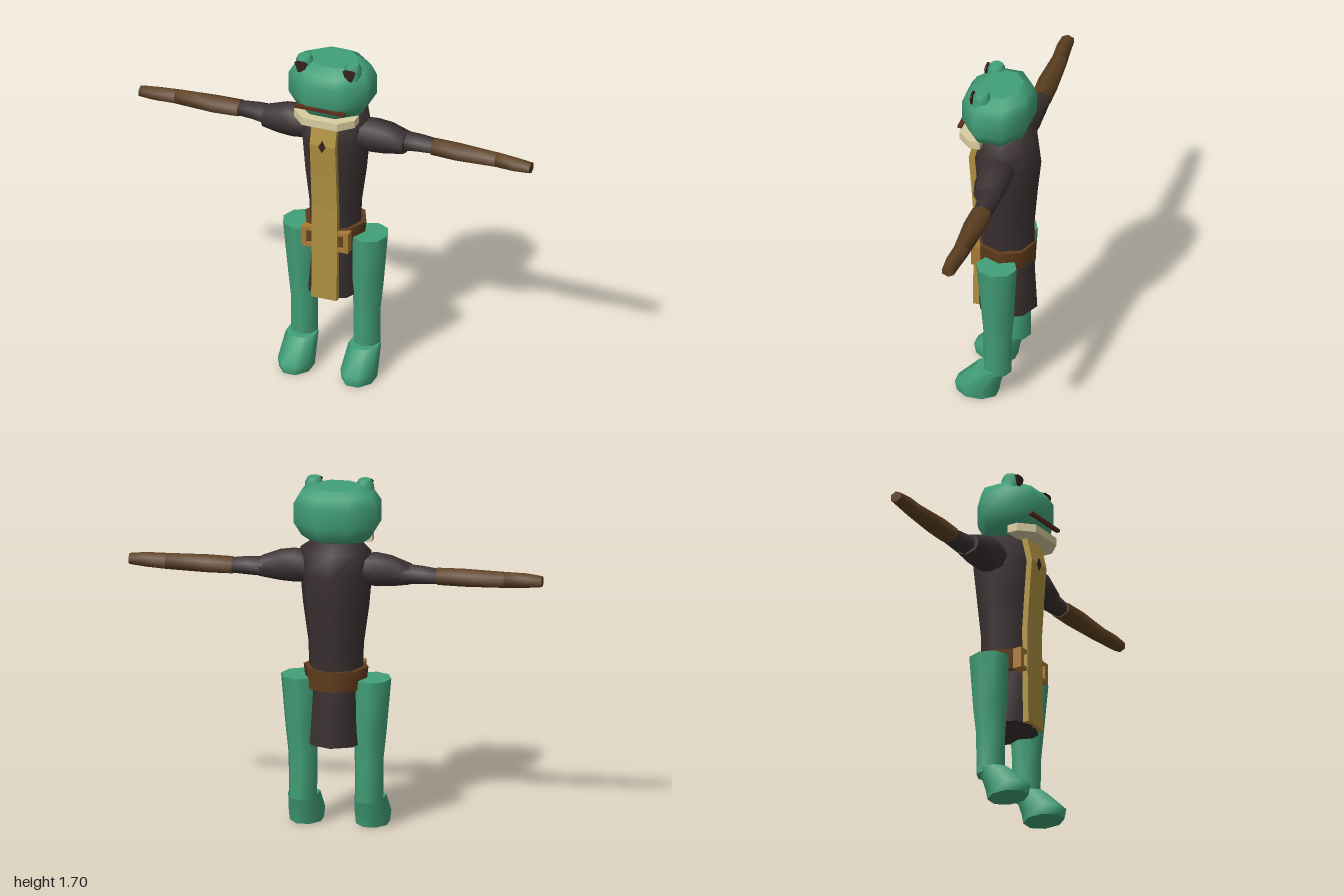
import * as THREE from 'three';

const mat = (name, color, side = THREE.FrontSide) => {
  const m = new THREE.MeshStandardMaterial({ color, side });
  m.name = name;
  return m;
};

// Closed tube of elliptical rings [station, a0, a1, b0, b1].
// Along y: a = x and b = z. Along x: a = z and b = y.
function loft(rings, { sides = 8, axis = 'y', phase = 0 } = {}) {
  const pos = [], idx = [], fit = phase ? 1 / Math.cos(Math.PI / sides) : 1;
  const addRing = ([s, a0, a1, b0, b1]) => {
    for (let j = 0; j < sides; j++) {
      const t = ((j + phase) / sides) * Math.PI * 2;
      const a = (a0 + a1) / 2 + ((a1 - a0) / 2) * fit * Math.sin(t);
      const b = (b0 + b1) / 2 + ((b1 - b0) / 2) * fit * Math.cos(t);
      if (axis === 'y') pos.push(a, s, b);
      else pos.push(s, b, a);
    }
  };
  rings.forEach(addRing);
  for (let i = 0; i < rings.length - 1; i++) {
    for (let j = 0; j < sides; j++) {
      const k = (j + 1) % sides, p = i * sides, q = p + sides;
      idx.push(p + j, p + k, q + k, p + j, q + k, q + j);
    }
  }
  // end caps on their own vertices so the rims stay sharp
  const low = rings.length * sides, high = low + sides;
  addRing(rings[0]);
  addRing(rings[rings.length - 1]);
  for (let j = 1; j < sides - 1; j++) {
    idx.push(low, low + j + 1, low + j, high, high + j, high + j + 1);
  }
  const g = new THREE.BufferGeometry();
  g.setAttribute('position', new THREE.Float32BufferAttribute(pos, 3));
  g.setIndex(idx);
  g.computeVertexNormals();
  return g;
}

const polygon = (pts) => new THREE.Shape(pts.map(([x, y]) => new THREE.Vector2(x, y)));
const extrude = (shape, depth) => new THREE.ExtrudeGeometry(shape, { depth, bevelEnabled: false });
const rectPts = (w, h) => [[-w, -h], [w, -h], [w, h], [-w, h]];

export function createModel() {
  const green = mat('green skin', 0x429f78);
  const cloth = mat('dark cloth', 0x3a3031);
  const gold = mat('gold cloth', 0xaf9040);
  const brass = mat('brass', 0xa87a34);
  const leather = mat('brown leather', 0x5c3f20);
  const belt = mat('belt leather', 0x603c1c);
  const cream = mat('cream', 0xd8cda0);
  const mouth = mat('mouth brown', 0x5a2e1c);
  const dark = mat('eye dark', 0x35211f);

  const model = new THREE.Group();
  const add = (name, geometry, material, parent = model) => {
    const m = new THREE.Mesh(geometry, material);
    m.name = name;
    parent.add(m);
    return m;
  };

  // Tunic, from hem to shoulders
  add('tunic', loft([
    [0.425, -0.14, 0.14, -0.17, 0.126],
    [0.70, -0.115, 0.115, -0.155, 0.105],
    [0.80, -0.13, 0.13, -0.155, 0.112],
    [0.92, -0.135, 0.135, -0.157, 0.117],
    [1.10, -0.16, 0.16, -0.172, 0.131],
    [1.27, -0.175, 0.175, -0.19, 0.145],
    [1.38, -0.172, 0.172, -0.172, 0.115],
    [1.425, -0.11, 0.11, -0.115, 0.05],
  ]), cloth);

  // Belt and buckle
  add('belt', loft([
    [0.70, -0.145, 0.145, -0.163, 0.115],
    [0.80, -0.157, 0.157, -0.166, 0.122],
  ]), belt);
  const frame = polygon(rectPts(0.12, 0.052));
  frame.holes.push(polygon(rectPts(0.095, 0.035)));
  add('buckleFrame', extrude(frame, 0.045).translate(0, 0.743, 0.079), brass);
  add('bucklePlate', new THREE.BoxGeometry(0.2, 0.08, 0.02).translate(0, 0.743, 0.095), belt);

  // Long front panel following the chest, with a diamond on it
  const front = [[0.425, 0.131], [0.69, 0.127], [0.80, 0.127], [0.92, 0.126], [1.10, 0.138], [1.27, 0.151], [1.385, 0.124]];
  const profile = [
    ...front.map(([y, z]) => [z, y]),
    ...front.map(([y, z]) => [z - 0.03, y]).reverse(),
  ];
  add('frontPanel', extrude(polygon(profile), 0.13).rotateY(-Math.PI / 2).translate(0.065, 0, 0), gold);
  add('diamond', extrude(polygon([[0, -0.032], [0.018, 0], [0, 0.032], [-0.018, 0]]), 0.007)
    .translate(-0.002, 1.265, 0.147), dark);

  // Head
  add('head', loft([
    [1.405, -0.12, 0.12, -0.08, 0.12],
    [1.44, -0.165, 0.165, -0.115, 0.155],
    [1.50, -0.2, 0.2, -0.142, 0.178],
    [1.60, -0.2, 0.2, -0.145, 0.18],
    [1.65, -0.172, 0.172, -0.13, 0.15],
    [1.68, -0.115, 0.115, -0.09, 0.1],
  ], { phase: 0.5 }), green);
  add('mouth', new THREE.BoxGeometry(0.25, 0.014, 0.02).translate(0, 1.482, 0.178), mouth);
  const jaw = [[-0.155, -0.07], [-0.155, -0.125], [-0.09, -0.19], [0.09, -0.19], [0.155, -0.125], [0.155, -0.07]];
  add('lowerLip', extrude(polygon(jaw.reverse()), 0.04).rotateX(-Math.PI / 2).translate(0, 1.39, 0), cream);

  for (const s of [1, -1]) {
    const label = s > 0 ? 'left' : 'right';
    const centred = (x, rows) => rows.map(([y, r, z0, z1, dx = 0]) => [y, s * (x + dx) - r, s * (x + dx) + r, z0, z1]);
    const along = (rows) => (s > 0 ? rows : rows.map(([x, ...r]) => [-x, ...r]).reverse());

    // Eye
    add(label + 'Eye', loft(centred(0.123, [
      [1.62, 0.045, 0.02, 0.115], [1.675, 0.044, 0.024, 0.113], [1.702, 0.03, 0.036, 0.1],
    ])), green);
    add(label + 'Pupil', extrude(polygon([[-0.015, -0.028], [0.015, -0.028], [0.032, 0.02], [0.02, 0.028], [-0.02, 0.028], [-0.032, 0.02]]), 0.009)
      .translate(s * 0.123, 1.662, 0.112), dark);

    // Arm: shoulder, sleeve, glove, hand
    const arm = new THREE.Group();
    arm.name = label + 'Arm';
    model.add(arm);
    const limb = (name, rows, material, sides = 8) =>
      add(name, loft(along(rows), { axis: 'x', sides }), material, arm);
    limb('shoulder', [
      [0.10, -0.10, 0.055, 1.21, 1.36], [0.20, -0.105, 0.065, 1.2, 1.37],
      [0.27, -0.105, 0.06, 1.205, 1.36], [0.36, -0.095, 0.04, 1.22, 1.325],
    ], cloth);
    limb('sleeve', [
      [0.34, -0.098, 0.025, 1.225, 1.325], [0.42, -0.095, 0.01, 1.23, 1.322], [0.5, -0.09, 0.002, 1.235, 1.312],
    ], cloth, 6);
    limb('glove', [
      [0.495, -0.093, 0.01, 1.23, 1.316], [0.62, -0.09, 0.016, 1.227, 1.317], [0.82, -0.075, 0.004, 1.232, 1.312],
    ], leather, 6);
    limb('hand', [
      [0.82, -0.075, 0.004, 1.232, 1.312], [0.92, -0.064, 0.012, 1.235, 1.308], [1.0, -0.057, 0.008, 1.243, 1.298],
    ], leather, 6);

    // Leg and foot
    add(label + 'Leg', loft(centred(0.16, [
      [0.137, 0.068, -0.09, 0.047], [0.35, 0.07, -0.093, 0.05], [0.48, 0.079, -0.105, 0.06, 0.005],
      [0.745, 0.09, -0.12, 0.08, 0.017],
    ])), green);
    add(label + 'Foot', loft(centred(0.16, [
      [0, 0.075, -0.02, 0.172], [0.05, 0.08, -0.028, 0.182], [0.155, 0.072, -0.066, 0.08],
    ]), { phase: 0.5 }), green);
  }
  return model;
}
